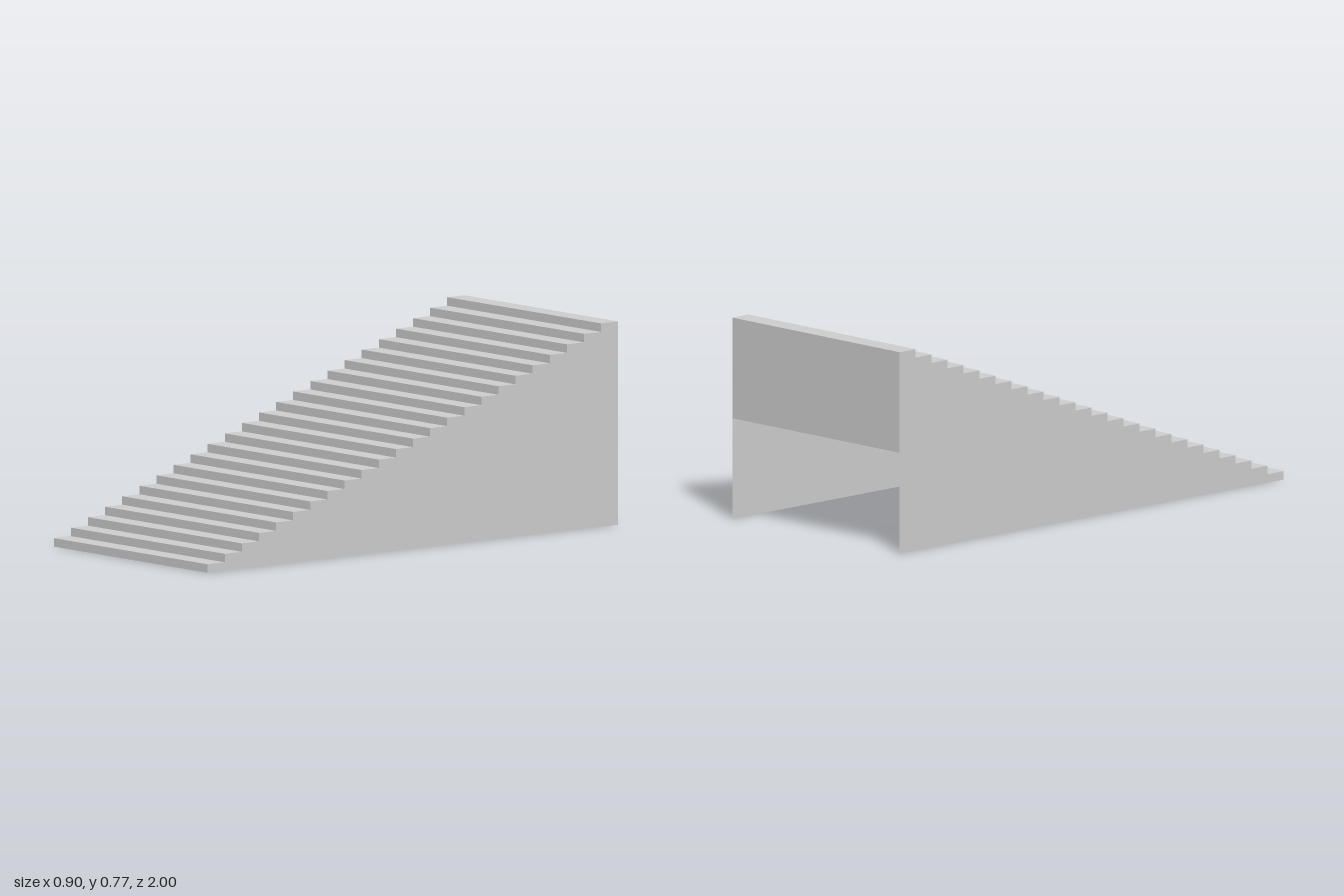
import * as THREE from 'three';

const STEPS = 24, WIDTH = 0.904, HEIGHT = 0.77, LENGTH = 2;
const RISE = HEIGHT / STEPS, RUN = LENGTH / STEPS;

export function createModel() {
  const group = new THREE.Group();
  group.name = 'staircase';
  const material = new THREE.MeshStandardMaterial({
    color: 0xcccccc, flatShading: true, side: THREE.DoubleSide,
  });

  const add = (name, geometry, x, y, z) => {
    const mesh = new THREE.Mesh(geometry, material);
    mesh.name = name;
    mesh.position.set(x, y, z);
    group.add(mesh);
  };

  // Thin risers and treads, open underneath
  const riser = new THREE.PlaneGeometry(WIDTH, RISE);
  const tread = new THREE.PlaneGeometry(WIDTH, RUN).rotateX(-Math.PI / 2);
  for (let i = 0; i < STEPS; i++) {
    const z = LENGTH / 2 - i * RUN;
    add('riser', riser, 0, (i + 0.5) * RISE, z);
    add('tread', tread, 0, (i + 1) * RISE, z - RUN / 2);
  }

  // Stepped side panels, drawn as z across and y up
  const outline = new THREE.Shape();
  outline.moveTo(-LENGTH / 2, 0);
  outline.lineTo(LENGTH / 2, 0);
  for (let i = 0; i < STEPS; i++) {
    const z = LENGTH / 2 - i * RUN;
    outline.lineTo(z, (i + 1) * RISE);
    outline.lineTo(z - RUN, (i + 1) * RISE);
  }
  outline.closePath();
  // Shape faces -x after turning; the left panel is turned to face +x
  const rightPanel = new THREE.ShapeGeometry(outline).rotateY(-Math.PI / 2);
  const leftPanel = rightPanel.clone();
  const corners = leftPanel.index.array;
  for (let i = 0; i < corners.length; i += 3) {
    [corners[i], corners[i + 1]] = [corners[i + 1], corners[i]];
  }
  leftPanel.computeVertexNormals();
  add('rightSidePanel', rightPanel, -WIDTH / 2, 0, 0);
  add('leftSidePanel', leftPanel, WIDTH / 2, 0, 0);

  // Back panel covers the upper half only
  const back = new THREE.PlaneGeometry(WIDTH, HEIGHT / 2).rotateY(Math.PI);
  add('backPanel', back, 0, HEIGHT * 0.75, -LENGTH / 2);

  return group;
}
